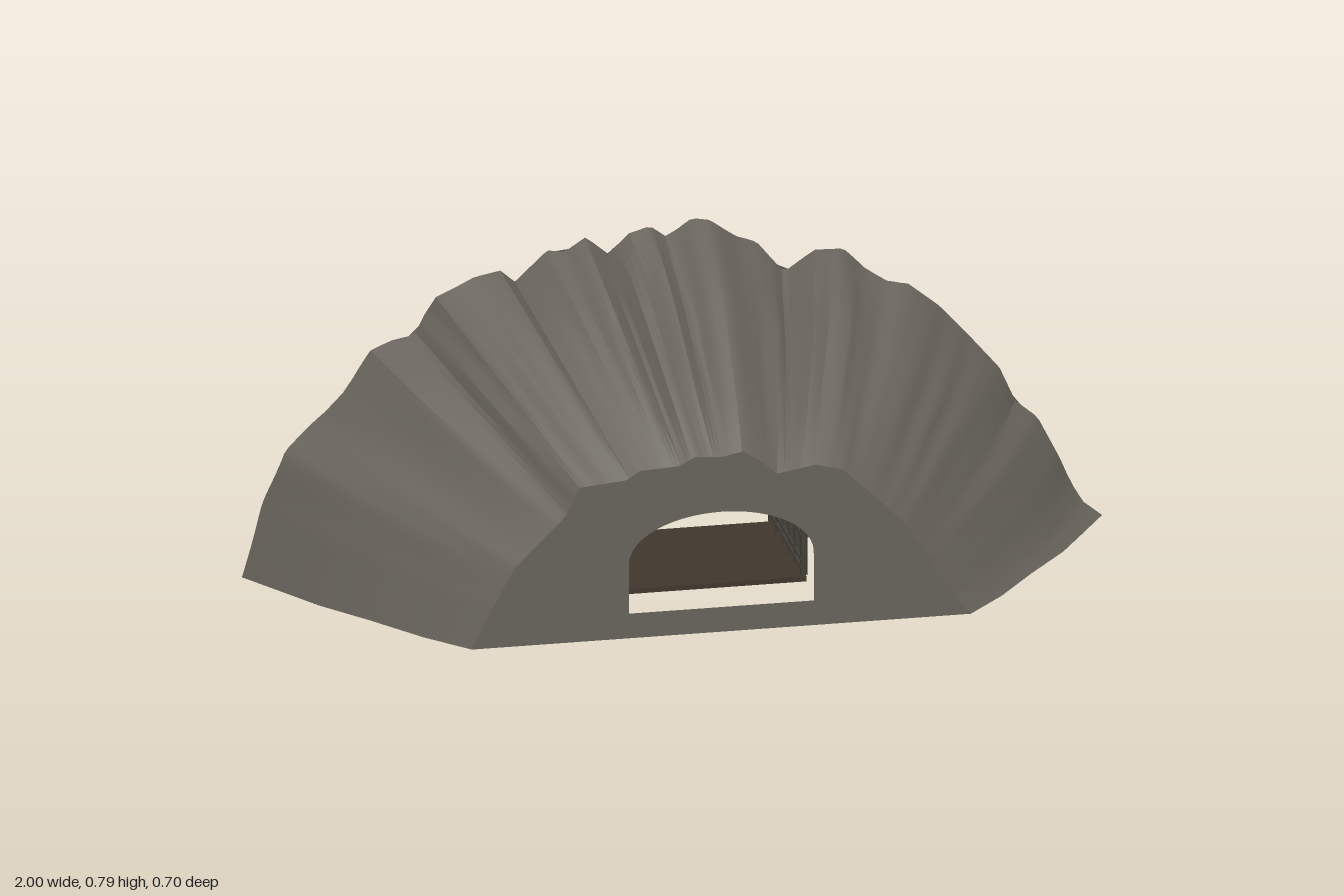
import * as THREE from 'three';
import { toCreasedNormals } from 'three/addons/utils/BufferGeometryUtils.js';

const mat = (color, flatShading = false) =>
  new THREE.MeshStandardMaterial({ color, flatShading, side: THREE.DoubleSide });

// small seeded generator
let seed = 7;
const rand = () => (seed = (seed * 16807) % 2147483647) / 2147483647;
const jitter = (a) => (rand() - 0.5) * 2 * a;

const pairs = (a) => a.reduce((o, v, i) => (i % 2 ? o : [...o, new THREE.Vector2(v, a[i + 1])]), []);

// ridge outlines (x, y), from right foot (-x) to left foot (+x)
const backOutline = pairs([-1, 0, -0.95, 0.17, -0.9, 0.3, -0.81, 0.38, -0.76, 0.44, -0.7, 0.53, -0.65, 0.55, -0.6, 0.56,
  -0.55, 0.65, -0.46, 0.69, -0.39, 0.7, -0.37, 0.66, -0.29, 0.74, -0.25, 0.735, -0.2, 0.77, -0.15, 0.72, -0.1, 0.77,
  -0.05, 0.78, -0.01, 0.75, 0.05, 0.79, 0.09, 0.785, 0.15, 0.74, 0.2, 0.72, 0.26, 0.65, 0.33, 0.7, 0.4, 0.69,
  0.45, 0.64, 0.5, 0.61, 0.55, 0.6, 0.62, 0.54, 0.7, 0.45, 0.76, 0.38, 0.8, 0.29, 0.85, 0.25, 0.9, 0.15,
  0.93, 0.08, 0.96, 0.03, 1, 0]);
const frontOutline = pairs([-0.58, 0, -0.53, 0.1, -0.48, 0.19, -0.42, 0.25, -0.36, 0.31, -0.33, 0.375, -0.22, 0.385,
  -0.19, 0.405, -0.1, 0.41, -0.06, 0.43, 0, 0.425, 0.05, 0.435, 0.09, 0.41, 0.13, 0.375, 0.22, 0.39, 0.28, 0.375,
  0.35, 0.31, 0.42, 0.24, 0.48, 0.15, 0.54, 0.05, 0.58, 0]);

// point of an outline in the direction of an angle
function atAngle(outline, angle) {
  const ang = (p) => Math.atan2(p.y, p.x);
  let i = 0;
  while (i < outline.length - 2 && ang(outline[i + 1]) > angle) i++;
  const a = outline[i], b = outline[i + 1];
  const t = (ang(a) - angle) / (ang(a) - ang(b));
  return a.clone().lerp(b, THREE.MathUtils.clamp(t, 0, 1));
}

// surface through rows of points
function loft(rows) {
  const n = rows[0].length, index = [];
  for (let r = 0; r < rows.length - 1; r++)
    for (let i = 0; i < n - 1; i++) {
      const a = r * n + i, b = a + n;
      index.push(a, b, a + 1, b, b + 1, a + 1);
    }
  const g = new THREE.BufferGeometry().setFromPoints(rows.flat());
  g.setIndex(index);
  g.computeVertexNormals();
  return g;
}

// depth of the rough rear face
const relief = (x, y) => -0.213 + 0.007 * Math.sin(x * 23 + 2 * Math.sin(y * 13))
  + 0.006 * Math.sin(y * 37 + 2 * Math.sin(x * 9)) - 0.006 * (y > 0.6);

// tunnel arch, from right foot over the top to left foot
function archPoints(w, top, n) {
  const spring = 0.18, p = new THREE.Path();
  p.moveTo(-w, 0.06).lineTo(-w, spring);
  p.absellipse(0, spring, w, top - spring, Math.PI, 0, true);
  p.lineTo(w, 0.06);
  return p.getSpacedPoints(n);
}

export function createModel() {
  const model = new THREE.Group();
  const rock = mat(0x67635b), roughRock = mat(0x625e56, true);
  const lining = mat(0x3d3830), iron = mat(0x45413a), wood = mat(0x40372d);
  const add = (name, geometry, material) => {
    const m = new THREE.Mesh(geometry, material);
    m.name = name;
    model.add(m);
    return m;
  };

  // flared, fluted hillside
  const N = 170;
  const angles = Array.from({ length: N + 1 }, (_, i) => Math.PI * (1 - i / N));
  const steps = [[0.35, 0], [0.25, 0.22], [0.12, 0.45], [0, 0.68], [-0.1, 0.83], [-0.2, 1]];
  const hill = steps.map(([z, t]) => angles.map((a) => {
    const p = atAngle(frontOutline, a).lerp(atAngle(backOutline, a), t);
    const flute = Math.abs(((a * 6.3 + 0.3 * Math.sin(a * 11)) % 1) - 0.5) * 4 - 1;
    const k = 1 + flute * 0.02 * Math.sin(a) ** 2 * Math.min(1, 4 * t * (1 - t));
    return new THREE.Vector3(p.x * k, p.y * k, t < 1 ? z : relief(p.x, p.y));
  }));
  add('hillside', toCreasedNormals(loft(hill), 0.4), rock);

  // flat front wall with the tunnel opening
  const wall = new THREE.Shape(frontOutline);
  wall.holes.push(new THREE.Path(archPoints(0.215, 0.292, 40)));
  add('frontWall', new THREE.ShapeGeometry(wall), rock).position.z = 0.35;

  // rough rock face, turning inward at the rear opening
  const M = 85, R = 11;
  const inner = archPoints(0.235, 0.31, M);
  const face = Array.from({ length: R + 1 }, (_, r) => inner.map((q, i) => {
    const p = q.clone().lerp(atAngle(backOutline, Math.PI * (1 - i / M)), (r / R) ** 1.15);
    const foot = i === 0 || i === M;
    if (foot && r > 0 && r < R) p.y = p.x > 0 && p.x < 0.4 ? 0 : 0.045;
    if (!foot && r > 0 && r < R) p.add(new THREE.Vector2(jitter(0.004), jitter(0.004)));
    const z = relief(p.x, p.y) + (r < R ? jitter(0.003) : 0);
    return new THREE.Vector3(p.x, p.y, r === 0 ? -0.165 : z);
  }));
  add('rockFace', loft(face), roughRock);

  // tunnel lining and floor
  const lines = [-0.165, 0.19].map((z) => archPoints(0.233, 0.308, 40).map((p) => new THREE.Vector3(p.x, p.y, z)));
  add('tunnelLining', loft(lines), lining);
  add('tunnelFloor', new THREE.BoxGeometry(0.46, 0.012, 0.365), wood).position.set(0, 0.053, 0.01);

  // arch ribs, with a heavier rim at the rear
  const arch = (name, z, w, top, radius) => {
    const path = new THREE.CatmullRomCurve3(archPoints(w, top, 24).map((p) => new THREE.Vector3(p.x, p.y, z)));
    add(name, new THREE.TubeGeometry(path, 48, radius, 8), iron);
  };
  arch('rearRim', -0.172, 0.229, 0.305, 0.014);
  for (let i = 0; i < 5; i++) arch('archRib', 0.18 - i * 0.07, 0.226, 0.301, 0.008);

  // wall pipes
  for (const side of [-1, 1])
    for (const y of [0.08, 0.1, 0.16]) {
      const pipe = add('wallPipe', new THREE.CylinderGeometry(0.005, 0.005, 0.35, 8), iron);
      pipe.rotation.x = Math.PI / 2;
      pipe.position.set(side * 0.221, y, 0.01);
    }

  // hanging lamp and bolts over the rim
  add('lamp', new THREE.SphereGeometry(0.015, 12, 8), iron).position.set(0.057, 0.262, -0.16);
  for (const x of [-0.15, 0, 0.15])
    add('rimBolt', new THREE.SphereGeometry(0.01, 10, 8), iron).position.set(x, 0.325 - Math.abs(x) * 0.25, -0.185);

  // boulders along the foot of the rock face: x, z, radius
  const boulders = [[-0.78, -0.285, 0.03], [-0.72, -0.265, 0.042], [-0.6, -0.28, 0.07], [-0.49, -0.285, 0.058],
    [-0.55, -0.25, 0.05], [-0.66, -0.25, 0.035], [-0.36, -0.31, 0.038], [-0.24, -0.222, 0.02], [0.33, -0.31, 0.033],
    [0.36, -0.265, 0.044], [0.43, -0.28, 0.044], [0.26, -0.235, 0.012], [0.61, -0.265, 0.04],
    [0.735, -0.315, 0.028], [0.735, -0.28, 0.028]];
  for (const [x, z, r] of boulders) {
    const half = Math.min(r, 0.036);
    const b = add('boulder', new THREE.IcosahedronGeometry(r, 1), roughRock);
    b.rotation.y = rand() * 3;
    b.scale.y = half / r;
    b.position.set(x, 0.048 + half, z);
  }
  return model;
}
